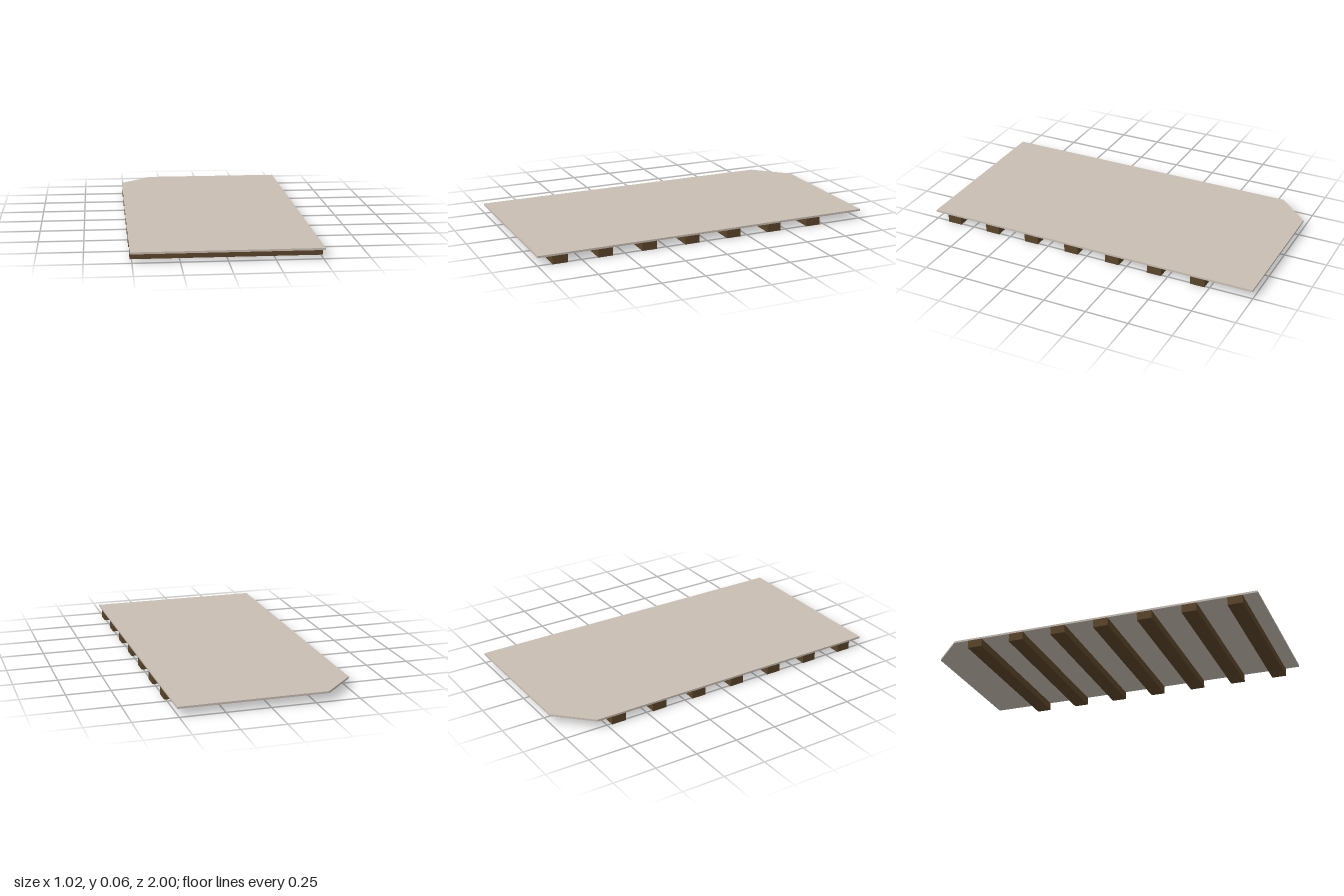
import * as THREE from 'three';

const HALF_W = 0.51, BATTEN_H = 0.047, BATTEN_D = 0.086, DECK_T = 0.011;

export function createModel() {
  const group = new THREE.Group();
  const deckMat = new THREE.MeshStandardMaterial({ color: 0xc8beb3 });
  const woodMat = new THREE.MeshStandardMaterial({ color: 0x5c452a });

  // Thin deck panel with one clipped back corner (shape y becomes -z)
  const outline = new THREE.Shape([
    [-HALF_W, -1], [HALF_W, -1], [HALF_W, 1], [-0.322, 1], [-HALF_W, 0.812],
  ].map(([x, y]) => new THREE.Vector2(x, y)));
  const deckGeo = new THREE.ExtrudeGeometry(outline, { depth: DECK_T, bevelEnabled: false });
  deckGeo.rotateX(-Math.PI / 2);
  const deck = new THREE.Mesh(deckGeo, deckMat);
  deck.name = 'deckPanel';
  deck.position.y = BATTEN_H;
  group.add(deck);

  // Seven evenly spaced battens across the underside
  const battens = new THREE.Group();
  battens.name = 'battens';
  const battenGeo = new THREE.BoxGeometry(HALF_W * 2, BATTEN_H, BATTEN_D);
  for (let i = 0; i < 7; i++) {
    const batten = new THREE.Mesh(battenGeo, woodMat);
    batten.name = `batten${i + 1}`;
    batten.position.set(0, BATTEN_H / 2, 0.874 - i * 0.259);
    battens.add(batten);
  }
  group.add(battens);

  return group;
}
